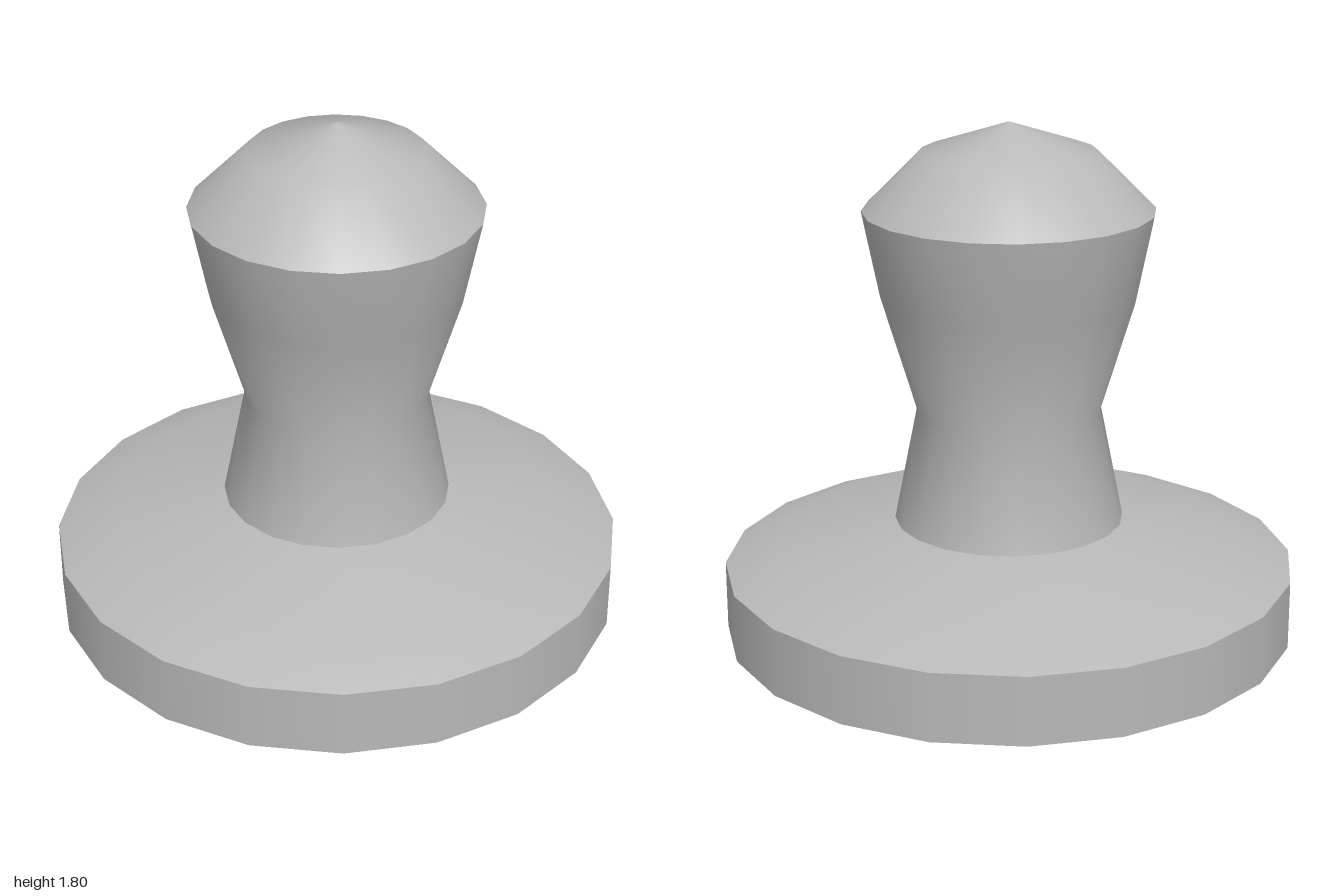
import * as THREE from 'three';

const SIDES = 20;

export function createModel() {
  const model = new THREE.Group();
  const grey = new THREE.MeshStandardMaterial({ color: 0xb8b8b8 });
  grey.name = 'grey';

  // Each section is a smooth lathe; sharp edges fall between sections.
  function turned(name, profile, parent) {
    const points = profile.map(([r, y]) => new THREE.Vector2(r, y));
    const mesh = new THREE.Mesh(new THREE.LatheGeometry(points, SIDES), grey);
    mesh.name = name;
    parent.add(mesh);
  }

  // Round foot
  const base = new THREE.Group();
  base.name = 'base';
  turned('baseUnderside', [[0, 0], [1, 0]], base);
  turned('baseRim', [[1, 0], [1, 0.24]], base);
  turned('baseTop', [[1, 0.24], [0.8, 0.32], [0.4, 0.4]], base);

  // Waisted grip with a domed cap
  const handle = new THREE.Group();
  handle.name = 'handle';
  turned('stem', [[0.4, 0.4], [0.32, 0.8], [0.44, 1.2], [0.5, 1.5]], handle);
  turned('cap', [[0.5, 1.5], [0.3, 1.7], [0, 1.8]], handle);

  model.add(base, handle);
  return model;
}
